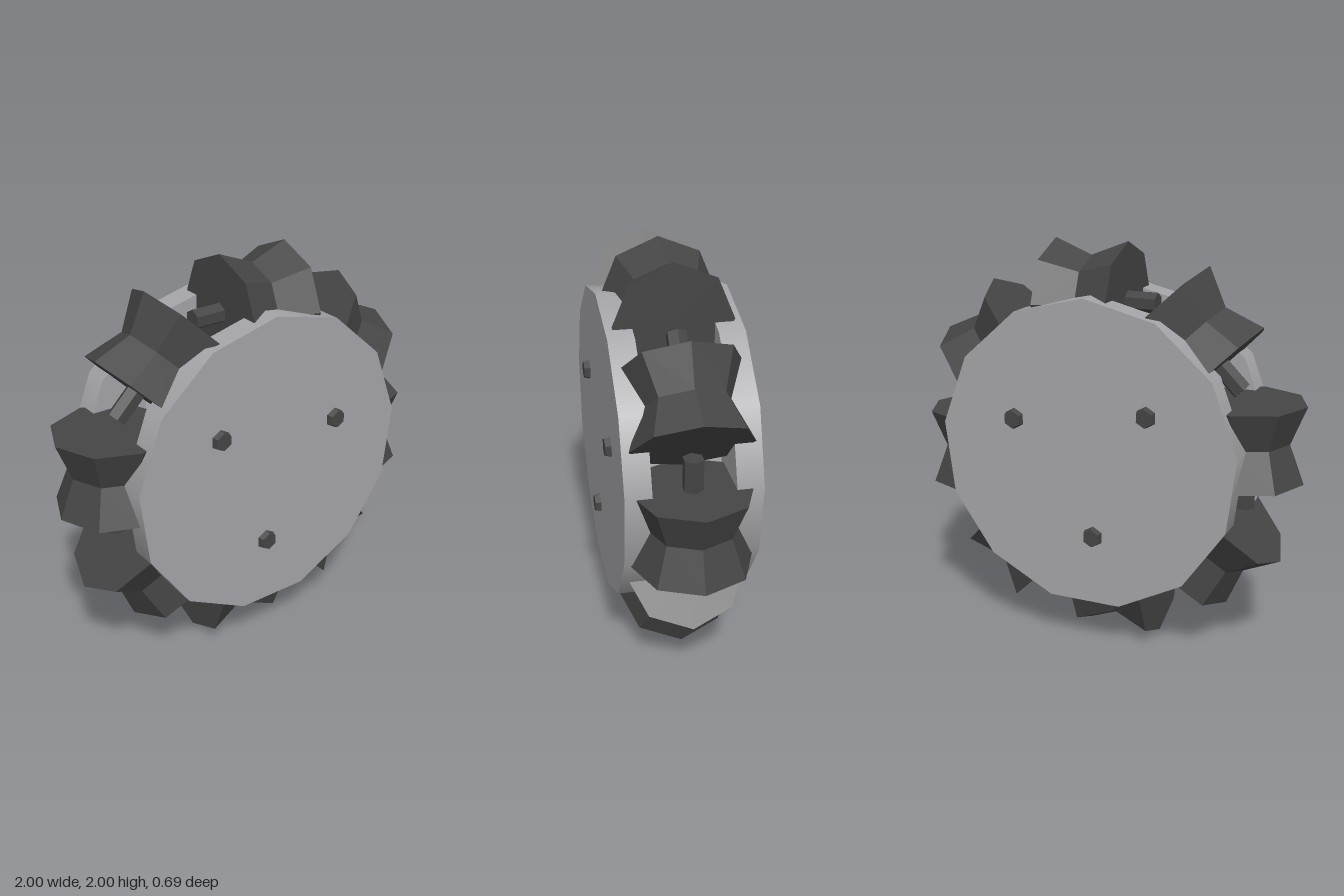
import * as THREE from 'three';

const CENTER_Y = 1.002;

export function createModel() {
  const plateGray = new THREE.MeshStandardMaterial({ color: 0xa5a4a8 });
  const rubberDark = new THREE.MeshStandardMaterial({ color: 0x454545, flatShading: true });
  plateGray.name = 'plateGray';
  rubberDark.name = 'rubberDark';

  const model = new THREE.Group();
  model.name = 'rollerWheel';
  const wheel = new THREE.Group();
  wheel.name = 'wheel';
  wheel.position.y = CENTER_Y;
  model.add(wheel);

  const add = (parent, name, geometry, material) => {
    const mesh = new THREE.Mesh(geometry, material);
    mesh.name = name;
    parent.add(mesh);
    return mesh;
  };
  const lathe = (points, sides) =>
    new THREE.LatheGeometry(points.map(([r, y]) => new THREE.Vector2(r, y)), sides);

  // Thirteen-sided side plates and the hub between them
  const plate = new THREE.CylinderGeometry(0.77, 0.77, 0.125, 13).rotateX(-Math.PI / 2);
  add(wheel, 'frontPlate', plate, plateGray).position.z = 0.2535;
  add(wheel, 'backPlate', plate, plateGray).position.z = -0.2535;
  add(wheel, 'hub', new THREE.CylinderGeometry(0.48, 0.48, 0.39, 13).rotateX(-Math.PI / 2), plateGray);

  // Eight hourglass rollers, each set to one side of its axle
  const roller = lathe([[0, -0.19], [0.285, -0.19], [0.21, 0], [0.285, 0.19], [0, 0.19]], 8)
    .rotateZ(Math.PI / 2);
  const axle = new THREE.CylinderGeometry(0.05, 0.05, 0.5, 6)
    .rotateY(Math.PI / 6).rotateZ(Math.PI / 2);
  for (let i = 0; i < 8; i++) {
    const unit = new THREE.Group();
    unit.name = 'rollerUnit' + (i + 1);
    unit.rotation.z = (-i * Math.PI) / 4;
    add(unit, 'roller', roller, rubberDark).position.set(0.094, 0.713, 0);
    add(unit, 'axle', axle, rubberDark).position.set(0, 0.713, 0);
    wheel.add(unit);
  }

  // Three hex bolts running through both plates
  const bolt = lathe([
    [0, -0.345], [0.044, -0.345], [0.053, -0.315], [0.053, 0.315], [0.044, 0.345], [0, 0.345],
  ], 6).rotateX(Math.PI / 2);
  for (let i = 0; i < 3; i++) {
    const a = THREE.MathUtils.degToRad(23 + i * 120);
    add(wheel, 'bolt' + (i + 1), bolt, rubberDark)
      .position.set(0.4 * Math.cos(a), 0.4 * Math.sin(a), 0);
  }
  return model;
}
